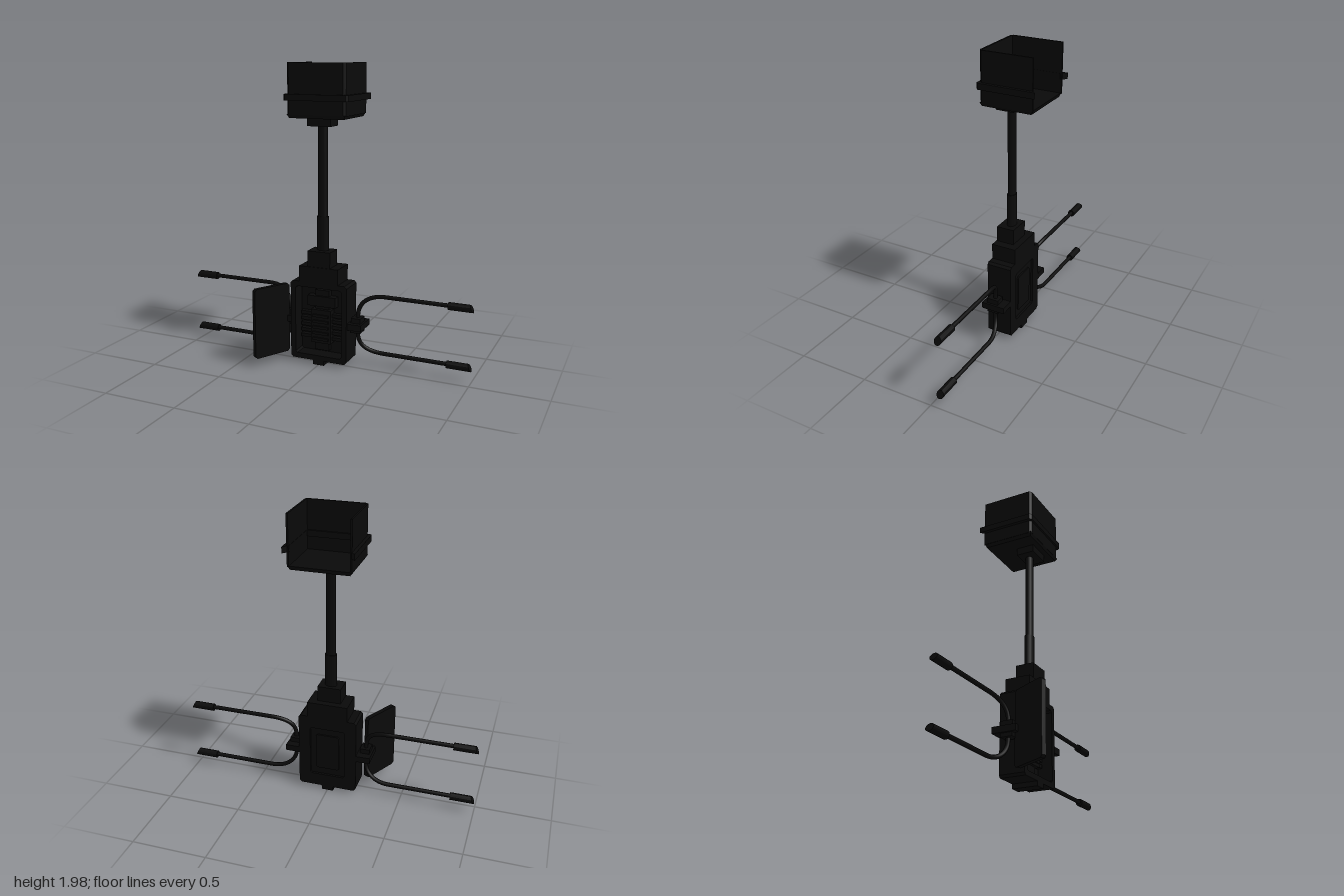
import * as THREE from 'three';

const mat = new THREE.MeshStandardMaterial({ color: 0x0a0a0a, flatShading: true, side: THREE.DoubleSide });
const smooth = new THREE.MeshStandardMaterial({ color: 0x0a0a0a });

function add(parent, name, geo, material = mat) {
  const m = new THREE.Mesh(geo, material);
  m.name = name;
  parent.add(m);
  return m;
}

// Box given by its limits on each axis
function box(parent, name, x0, x1, y0, y1, z0, z1) {
  const m = add(parent, name, new THREE.BoxGeometry(x1 - x0, y1 - y0, z1 - z0));
  m.position.set((x0 + x1) / 2, (y0 + y1) / 2, (z0 + z1) / 2);
  return m;
}

const toPoints = (list) => list.map(([x, y]) => new THREE.Vector2(x, y));

// Corner points of a rectangle with cut corners
function cutRect(x0, x1, y0, y1, c) {
  return toPoints([[x0 + c, y0], [x1 - c, y0], [x1, y0 + c], [x1, y1 - c],
    [x1 - c, y1], [x0 + c, y1], [x0, y1 - c], [x0, y0 + c]]);
}

function plate(parent, name, outline, z0, z1, hole) {
  const shape = new THREE.Shape(outline);
  if (hole) shape.holes.push(new THREE.Path(hole));
  const geo = new THREE.ExtrudeGeometry(shape, { depth: z1 - z0, bevelEnabled: false });
  geo.translate(0, 0, z0);
  return add(parent, name, geo);
}

// Wall around left, front and right, open at the back; outline in (x, z), raised along y
function openWall(parent, name, w, front, back, t, y0, y1, flare = 0) {
  const c = 0.015;
  const half = [[w, back], [w, front - c], [w - c, front]];
  const inner = [[w - t, front - t], [w - t, back + flare]];
  const pts = [...half, ...half.map(([x, z]) => [-x, z]).reverse(),
    [-inner[1][0], inner[1][1]], [-inner[0][0], inner[0][1]], ...inner];
  const geo = new THREE.ExtrudeGeometry(new THREE.Shape(toPoints(pts)), { depth: y1 - y0, bevelEnabled: false });
  geo.rotateX(Math.PI / 2).translate(0, y1, 0);
  return add(parent, name, geo);
}

function buildHead() {
  const g = new THREE.Group();
  g.name = 'head';
  openWall(g, 'headWall', 0.2, 0.1, -0.255, 0.012, 1.655, 1.98);
  openWall(g, 'headRim', 0.222, 0.113, -0.28, 0.036, 1.745, 1.785, 0.035);
  // Floor narrows towards its underside
  const floor = box(g, 'headFloor', -0.2, 0.2, 1.635, 1.66, -0.25, 0.1);
  const p = floor.geometry.attributes.position;
  for (let i = 0; i < p.count; i++) {
    if (p.getY(i) < 0) p.setXYZ(i, p.getX(i) * 0.93, p.getY(i), p.getZ(i) * 0.95);
  }
  floor.geometry.computeVertexNormals();
  box(g, 'headMount', -0.08, 0.083, 1.585, 1.64, -0.068, 0.055);
  return g;
}

function buildBody() {
  const g = new THREE.Group();
  g.name = 'body';
  const outline = cutRect(-0.2, 0.2, 0.03, 0.565, 0.015);
  plate(g, 'cabinetFrame', outline, -0.04, 0.06, cutRect(-0.165, 0.165, 0.065, 0.53, 0.012));
  plate(g, 'cabinetCore', outline, -0.095, -0.04);
  plate(g, 'backFrame', outline, -0.11, -0.095, cutRect(-0.12, 0.12, 0.12, 0.48, 0.01));
  plate(g, 'backPanel', cutRect(-0.08, 0.08, 0.17, 0.43, 0.01), -0.105, -0.095);
  box(g, 'foot', -0.04, 0.04, 0, 0.04, -0.11, 0.06);
  box(g, 'shoulder', -0.138, 0.138, 0.56, 0.67, -0.11, 0.06);
  box(g, 'collar', -0.08, 0.08, 0.66, 0.775, -0.066, 0.055);
  // Fittings inside the cabinet
  box(g, 'topModule', -0.1, 0.1, 0.39, 0.46, -0.04, 0.01);
  box(g, 'topModuleStem', -0.05, 0.05, 0.36, 0.5, -0.04, -0.005);
  box(g, 'centreModule', -0.07, 0.07, 0.14, 0.37, -0.04, 0.02);
  box(g, 'lowerModule', -0.05, 0.05, 0.085, 0.14, -0.04, 0);
  for (let i = 0; i < 5; i++) {
    const y = 0.16 + i * 0.04;
    box(g, 'terminalStrip', -0.155, 0.155, y, y + 0.022, -0.04, -0.005);
    box(g, 'centreRib', -0.055, 0.055, y, y + 0.018, 0.02, 0.03);
  }
  return g;
}

function buildPole() {
  const g = new THREE.Group();
  g.name = 'pole';
  const tube = (name, r, rz, y0, y1) => {
    const m = add(g, name, new THREE.CylinderGeometry(r, r, y1 - y0, 16), smooth);
    m.scale.z = rz / r;
    m.position.set(0.002, (y0 + y1) / 2, -0.014);
  };
  tube('poleSleeve', 0.041, 0.029, 0.77, 1.0);
  tube('poleShaft', 0.033, 0.026, 1.0, 1.59);
  return g;
}

// Bracket with an upper and a lower arm, built for the left side
function buildArms() {
  const g = new THREE.Group();
  box(g, 'bracketPlate', 0.19, 0.295, 0.27, 0.312, -0.11, 0.05);
  box(g, 'bracketClamp', 0.215, 0.28, 0.245, 0.345, -0.06, 0.02);
  for (const up of [1, -1]) {
    const V = (x, dy, z) => new THREE.Vector3(x, 0.295 + up * dy, z);
    const path = new THREE.CurvePath();
    path.add(new THREE.LineCurve3(V(0.248, 0, -0.025), V(0.248, 0.06, -0.025)));
    path.add(new THREE.CubicBezierCurve3(V(0.248, 0.06, -0.025), V(0.248, 0.15, -0.025),
      V(0.31, 0.194, -0.065), V(0.42, 0.194, -0.065)));
    path.add(new THREE.LineCurve3(V(0.42, 0.194, -0.065), V(0.86, 0.194, -0.065)));
    add(g, 'arm', new THREE.TubeGeometry(path, 60, 0.014, 10), smooth);

    // Grip with a slanted outer end
    const geo = new THREE.CylinderGeometry(0.025, 0.025, 0.15, 14).rotateZ(-Math.PI / 2);
    const p = geo.attributes.position;
    for (let i = 0; i < p.count; i++) {
      if (p.getX(i) > 0) p.setX(i, p.getX(i) - p.getY(i) * 0.45);
    }
    geo.computeVertexNormals();
    add(g, 'armTip', geo).position.set(0.914, 0.295 + up * 0.194 - 0.002, -0.065);
  }
  return g;
}

export function createModel() {
  const model = new THREE.Group();
  model.name = 'model';
  model.add(buildHead(), buildPole(), buildBody());

  const left = buildArms();
  left.name = 'leftArms';
  const right = buildArms();
  right.name = 'rightArms';
  right.scale.x = -1;
  model.add(left, right);

  // Open door, hinged on the right side of the cabinet
  const door = new THREE.Group();
  door.name = 'door';
  plate(door, 'doorPanel', cutRect(0, 0.274, 0.06, 0.535, 0.015), -0.015, 0.015);
  door.position.set(-0.235, 0, 0.027);
  door.rotation.y = -Math.PI + Math.atan2(0.24, 0.13);
  model.add(door);
  box(model, 'doorHinge', -0.245, -0.19, 0.27, 0.312, 0.01, 0.05);
  return model;
}
